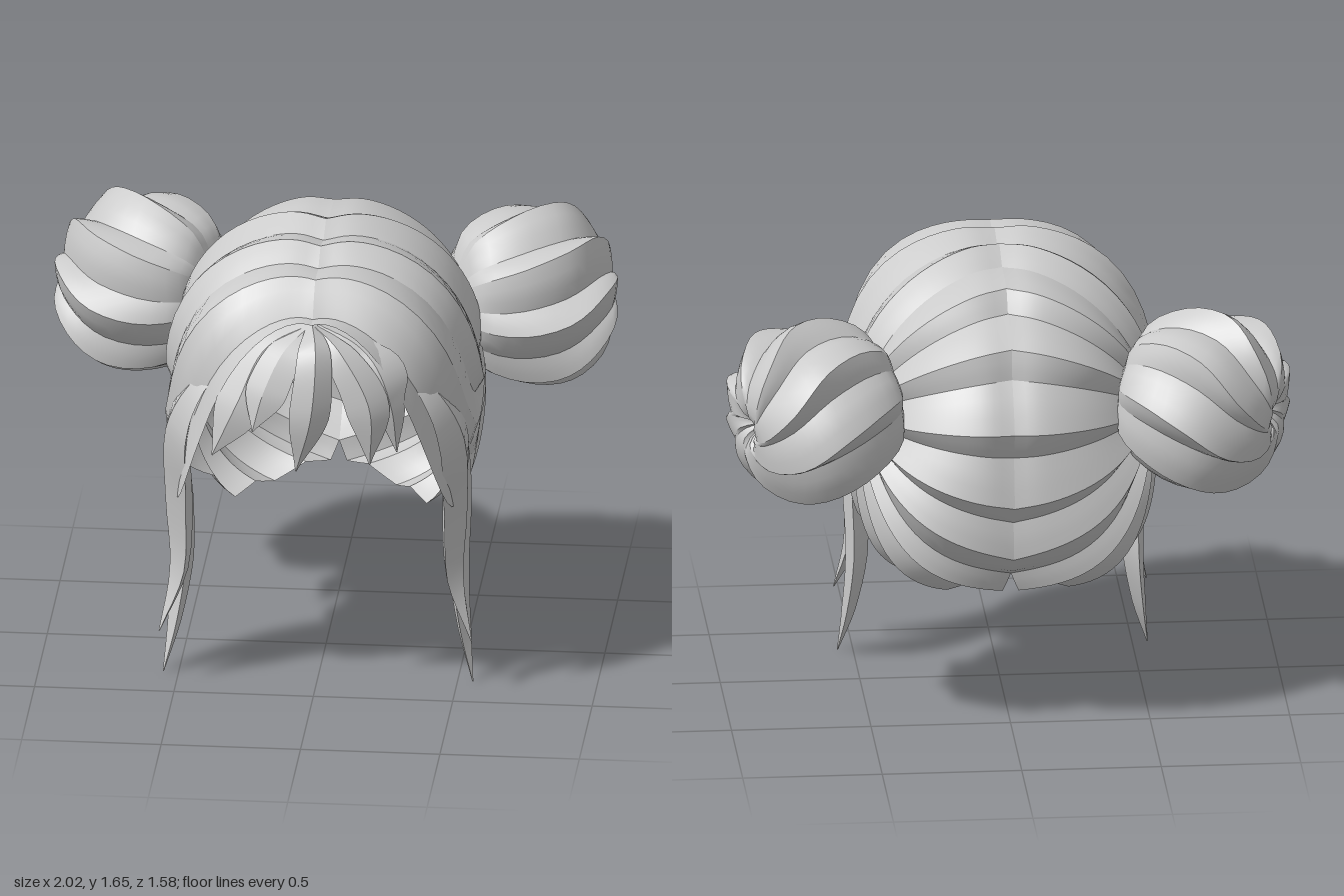
import * as THREE from 'three';
import { mergeGeometries } from 'three/addons/utils/BufferGeometryUtils.js';

const V = (x, y, z) => new THREE.Vector3(x, y, z);
const { lerp, smoothstep } = THREE.MathUtils;
const material = new THREE.MeshStandardMaterial({ color: 0xcccccc, side: THREE.DoubleSide });

// Smooth patch of fn(u, v) -> Vector3, with u and v from 0 to 1
function sheet(fn, nu, nv) {
  const pos = [], index = [];
  for (let i = 0; i <= nu; i++)
    for (let j = 0; j <= nv; j++) pos.push(...fn(i / nu, j / nv).toArray());
  for (let i = 0; i < nu; i++)
    for (let j = 0; j < nv; j++) {
      const a = i * (nv + 1) + j, b = a + 1, c = a + nv + 1, d = c + 1;
      index.push(a, b, c, b, d, c);
    }
  const g = new THREE.BufferGeometry();
  g.setAttribute('position', new THREE.Float32BufferAttribute(pos, 3));
  g.setIndex(index);
  g.computeVertexNormals();
  return g;
}

// Copy reflected across x = 0, with the winding turned back outward
function mirror(geometry) {
  const g = geometry.clone().scale(-1, 1, 1);
  const ix = g.index.array;
  for (let i = 0; i < ix.length; i += 3) [ix[i], ix[i + 1]] = [ix[i + 1], ix[i]];
  g.computeVertexNormals();
  return g;
}

// Skull shape: a squarish front and underside, a rounder back
const HEAD_Y = 1.07, RX = 0.56;
const height = y => (y > 0 ? 0.57 : 0.62);
const depth = z => (z > 0 ? 0.655 : 0.7);
function onHead(d) {
  d.normalize();
  const p = 2.1 + 0.9 * Math.max(0, d.z) + 1.5 * Math.max(0, -d.y);
  d.divideScalar(Math.pow(Math.abs(d.x) ** p + Math.abs(d.y) ** p + Math.abs(d.z) ** p, 1 / p));
  return V(d.x * RX, HEAD_Y + d.y * height(d.y), d.z * depth(d.z));
}

// Crease lines, alternately ridge and valley: start x, y, z and sag toward the face
const creases = [
  [0, 1.45, 0.56, 0.65], [0, 1.47, 0.53, 0.5], [0, 1.57, 0.42, 0.4], [0, 1.57, 0.3, 0.33],
  [0, 1.63, 0.22, 0.3], [0, 1.61, 0.1, 0.2], [0, 1.65, 0, 0.1], [0, 1.6, -0.12, 0.02],
  [0, 1.6, -0.33, 0], [0, 1.52, -0.39, 0], [0, 1.44, -0.56, 0], [0, 1.34, -0.6, 0],
  [0, 1.16, -0.7, 0], [0, 1.06, -0.68, 0], [0, 0.88, -0.7, 0], [0, 0.8, -0.66, 0],
  [0, 0.67, -0.65, 0], [0, 0.52, -0.57, 0], [0.03, 0.48, -0.52, 0], [0.12, 0.48, -0.46, 0],
  [0.22, 0.46, -0.38, 0], [0.28, 0.5, -0.27, 0], [0.34, 0.48, -0.19, 0], [0.39, 0.6, -0.13, 0],
  [0.43, 0.72, -0.05, 0], [0.47, 0.9, -0.08, 0],
];

// Half of the cap: strands running from the parting and nape to the bun root
function capHalf() {
  const pole = V(0.95, 0.06, -0.36).normalize();
  const rows = creases.map(([x, y, z, sag], i) => ({
    dir: V(x / RX, (y - HEAD_Y) / height(y - HEAD_Y), z / depth(z)).normalize(),
    sag, lift: i % 2 ? -0.045 : 0.025,
  }));
  return mergeGeometries(rows.slice(1).map((b, i) => {
    const a = rows[i];
    return sheet((u, v) => {
      const d = a.dir.clone().lerp(b.dir, u).normalize().lerp(pole, v);
      const sag = lerp(a.sag, b.sag, u) * Math.sin(Math.PI * v * v);
      d.y -= sag;
      d.z += 0.7 * sag;
      const p = onHead(d);
      const parting = 0.025 * Math.exp(-((p.x / 0.07) ** 2)) * smoothstep(0.5 - p.z, 0, 0.3) * smoothstep(p.y, 0.6, 1.2);
      const r = 1 + lerp(a.lift, b.lift, u) * (1 - v ** 4) - parting;
      return V(p.x * r, HEAD_Y + (p.y - HEAD_Y) * r, p.z * r);
    }, 3, 24);
  }));
}

// Twisted bun: zigzag ridges wound around an outward axis, deeper toward the tip
function bun() {
  const center = V(0.7, 1.19, -0.455);
  const axis = V(0.92, -0.1, -0.36).normalize();
  const e1 = V(0, 1, 0).addScaledVector(axis, -axis.y).normalize();
  const e2 = e1.clone().cross(axis);
  const profile = new THREE.CatmullRomCurve3(
    [[-0.3, 0.08], [-0.25, 0.22], [-0.1, 0.31], [0.06, 0.33], [0.17, 0.29], [0.26, 0.19], [0.27, 0.08], [0.2, 0.005]]
      .map(([a, r]) => V(a, r, 0)));
  const ridges = 8, facets = [];
  for (let k = 0; k < ridges; k++)
    for (const [from, to, rise] of [[0, 0.65, true], [0.65, 1, false]])
      facets.push(sheet((u, v) => {
        const p = profile.getPoint(v);
        const turn = (k + lerp(from, to, u)) / ridges;
        const angle = turn * Math.PI * 2 + 1.8 * v * v;
        const r = p.y * (1.04 - (0.09 + 0.25 * v) * (rise ? 1 - u : u));
        return center.clone().addScaledVector(axis, p.x)
          .addScaledVector(e1, r * Math.cos(angle)).addScaledVector(e2, r * Math.sin(angle));
      }, 3, 22));
  return mergeGeometries(facets);
}

// Tapered strand with a diamond section; points are [x, y, z, halfWidth, halfThickness]
function lock(points, across) {
  const path = new THREE.CatmullRomCurve3(points.map(p => V(p[0], p[1], p[2])));
  const size = new THREE.CatmullRomCurve3(points.map(p => V(p[3], p[4], 0)));
  const dir = V(...across).normalize();
  const corner = (k, v) => {
    const d = path.getTangent(v);
    const w = dir.clone().addScaledVector(d, -dir.dot(d)).normalize();
    const t = w.clone().cross(d);
    const s = size.getPoint(v);
    const a = k * Math.PI / 2;
    return path.getPoint(v).addScaledVector(w, s.x * Math.cos(a)).addScaledVector(t, s.y * Math.sin(a));
  };
  return mergeGeometries([0, 1, 2, 3].map(k =>
    sheet((u, v) => corner(k, v).lerp(corner(k + 1, v), u), 1, 20)));
}

export function createModel() {
  const model = new THREE.Group();
  const add = (name, geometry) => {
    const mesh = new THREE.Mesh(geometry, material);
    mesh.name = name;
    model.add(mesh);
  };
  const pair = (name, geometry) => {
    add(name + 'Left', geometry);
    add(name + 'Right', mirror(geometry));
  };

  pair('cap', capHalf());
  pair('bun', bun());

  // Long locks framing the face
  pair('frontSideLock', lock([
    [0.3, 1.3, 0.47, 0.02, 0.01], [0.43, 1.15, 0.46, 0.08, 0.03], [0.495, 0.98, 0.42, 0.11, 0.045],
    [0.495, 0.7, 0.36, 0.085, 0.05], [0.495, 0.42, 0.355, 0.06, 0.035], [0.56, 0.2, 0.42, 0.002, 0.002],
  ], [-0.35, 0, 0.9]));
  pair('rearSideLock', lock([
    [0.48, 1.1, 0.3, 0.03, 0.01], [0.51, 0.9, 0.29, 0.09, 0.03], [0.5, 0.65, 0.23, 0.08, 0.045],
    [0.495, 0.4, 0.21, 0.08, 0.04], [0.52, 0.18, 0.25, 0.05, 0.025], [0.555, 0, 0.31, 0.002, 0.002],
  ], [-0.2, 0, 1]));

  // Short strands over the ears
  pair('earLock', lock([
    [0.53, 1.02, -0.27, 0.07, 0.015], [0.545, 0.97, -0.08, 0.075, 0.02], [0.535, 0.92, 0.08, 0.1, 0.025],
    [0.51, 0.87, 0.2, 0.1, 0.025], [0.48, 0.9, 0.33, 0.002, 0.002],
  ], [0, 1, 0]));

  // Fringe fanning out from the hairline
  const fringe = [
    [[0, 1.45, 0.55, 0.02, 0.01], [0.02, 1.4, 0.68, 0.06, 0.025], [0.01, 1.2, 0.75, 0.075, 0.03], [-0.04, 0.97, 0.75, 0.002, 0.002]],
    [[0, 1.45, 0.55, 0.02, 0.01], [0.11, 1.37, 0.64, 0.06, 0.025], [0.21, 1.2, 0.68, 0.08, 0.03], [0.22, 0.98, 0.69, 0.002, 0.002]],
    [[0.02, 1.45, 0.54, 0.02, 0.01], [0.19, 1.36, 0.58, 0.06, 0.025], [0.28, 1.2, 0.62, 0.06, 0.025], [0.31, 1.0, 0.61, 0.002, 0.002]],
    [[0, 1.45, 0.55, 0.02, 0.01], [-0.09, 1.37, 0.63, 0.07, 0.02], [-0.15, 1.25, 0.68, 0.08, 0.025], [-0.2, 1.1, 0.71, 0.002, 0.002]],
    [[0, 1.45, 0.54, 0.02, 0.01], [-0.16, 1.36, 0.58, 0.07, 0.025], [-0.25, 1.18, 0.64, 0.09, 0.03], [-0.35, 0.98, 0.65, 0.002, 0.002]],
  ];
  fringe.forEach((points, i) => add('fringeLock' + (i + 1), lock(points, [1, 0, -Math.sign(points[2][0]) * 0.3])));

  return model;
}
